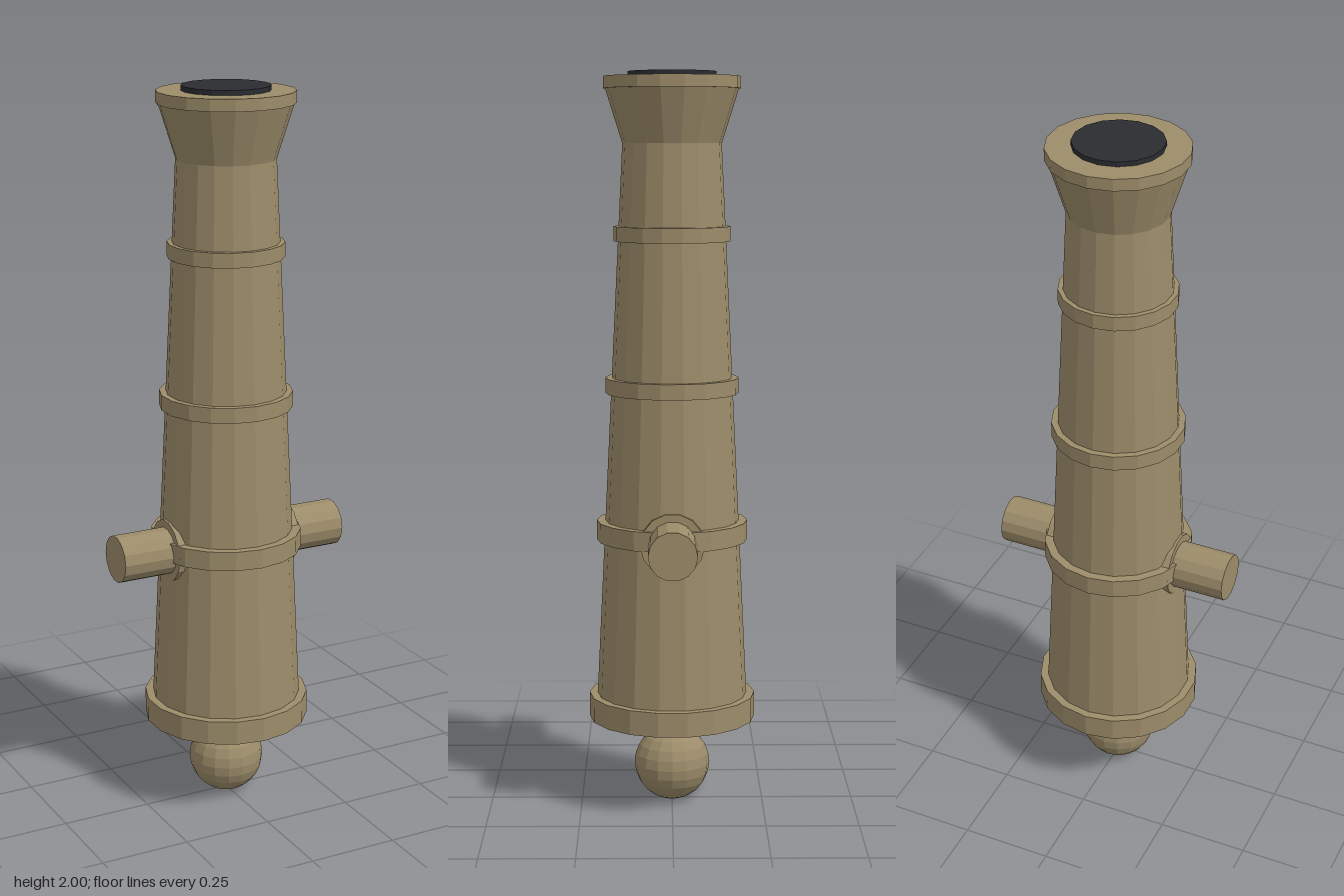
import * as THREE from 'three';

export function createModel() {
  const model = new THREE.Group();
  const bronze = new THREE.MeshStandardMaterial({ color: 0x9c8c6a, flatShading: true });
  const dark = new THREE.MeshStandardMaterial({ color: 0x2a2c30, flatShading: true });

  function add(name, geometry, material = bronze) {
    const mesh = new THREE.Mesh(geometry, material);
    mesh.name = name;
    model.add(mesh);
    return mesh;
  }

  // Upright round part between two heights
  function round(name, y0, y1, r0, r1, sides = 18, material = bronze) {
    const mesh = add(name, new THREE.CylinderGeometry(r1, r0, y1 - y0, sides), material);
    mesh.position.y = (y0 + y1) / 2;
    return mesh;
  }

  // Tapered barrel with base ring and flared muzzle
  round('baseRing', 0.238, 0.305, 0.228, 0.228);
  round('barrel', 0.26, 1.812, 0.208, 0.133);
  round('muzzleFlare', 1.81, 1.96, 0.133, 0.18);
  round('muzzleLip', 1.955, 1.987, 0.184, 0.184);
  round('bore', 1.9, 2.0, 0.118, 0.118, 16, dark);

  // Reinforcing bands
  for (const [y, r, h] of [[0.763, 0.206, 0.053], [1.161, 0.181, 0.042], [1.57, 0.157, 0.04]]) {
    round('band', y - h / 2, y + h / 2, r, r);
  }

  // Trunnions with their collars on both sides
  for (const side of [1, -1]) {
    const trunnion = add('trunnion', new THREE.CylinderGeometry(0.065, 0.065, 0.235, 14));
    trunnion.rotation.z = -side * Math.PI / 2;
    trunnion.position.set(side * 0.2175, 0.752, 0);

    const collar = add('trunnionCollar', new THREE.CylinderGeometry(0.086, 0.086, 0.085, 14));
    collar.rotation.z = -side * Math.PI / 2;
    collar.position.set(side * 0.1425, 0.752, 0);
  }

  // Rear knob on a ringed neck
  round('knobNeck', 0.17, 0.245, 0.055, 0.062, 14);
  round('neckRingLower', 0.195, 0.213, 0.058, 0.071, 14);
  round('neckRingUpper', 0.213, 0.23, 0.071, 0.066, 14);
  add('knob', new THREE.SphereGeometry(0.104, 16, 12)).position.y = 0.105;

  return model;
}
